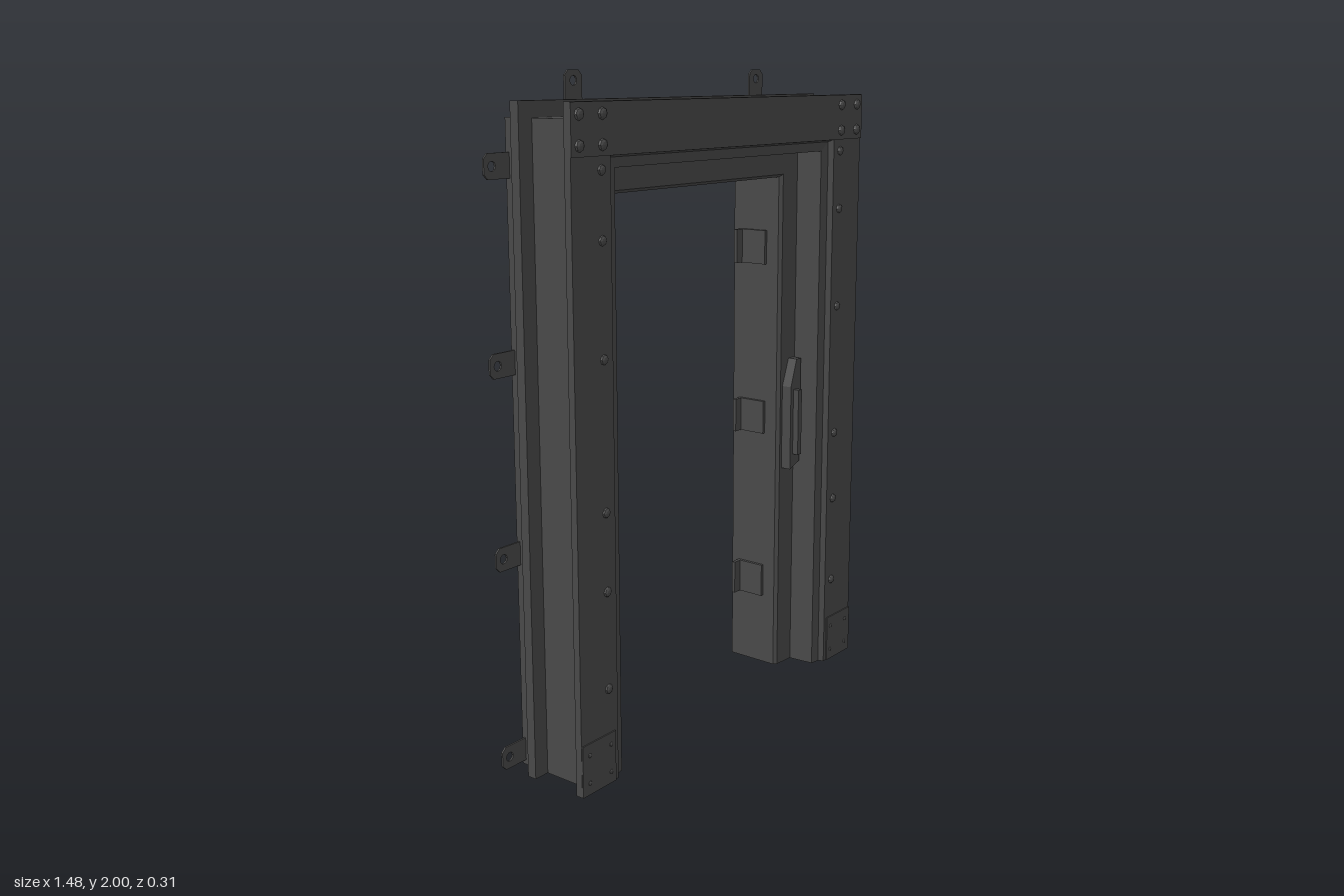
import * as THREE from 'three';

const steel = new THREE.MeshStandardMaterial({ color: 0x484848 });
steel.name = 'darkSteel';
steel.flatShading = true;

const HALF = 0.41, TOP = 1.665, RISE = 0.9; // opening half width, opening height, lintel/jamb width ratio

// Frame cross-section: distance outward from the opening, then z
const profile = [
  [0, 0.02], [0, -0.155], [0.21, -0.155], [0.21, -0.14], [0.235, -0.14],
  [0.235, -0.07], [0.285, -0.07], [0.285, -0.04], [0.235, -0.04],
  [0.235, 0.12], [0.285, 0.12], [0.285, 0.142], [0.13, 0.142],
  [0.122, 0.125], [0.09, 0.12], [0.082, 0.035], [0.01, 0.03],
];

// Sweep the profile up one jamb, across the lintel and down the other, with mitred corners
function frameGeometry() {
  const stations = [
    ([u, z]) => [-(HALF + u), 0, z],
    ([u, z]) => [-(HALF + u), TOP + RISE * u, z],
    ([u, z]) => [HALF + u, TOP + RISE * u, z],
    ([u, z]) => [HALF + u, 0, z],
  ];
  const pos = [];
  const n = profile.length;
  for (let k = 0; k < 3; k++) {
    for (let i = 0; i < n; i++) {
      const a = stations[k](profile[i]), b = stations[k](profile[(i + 1) % n]);
      const c = stations[k + 1](profile[(i + 1) % n]), d = stations[k + 1](profile[i]);
      pos.push(...a, ...b, ...c, ...a, ...c, ...d);
    }
  }
  // Feet
  const faces = THREE.ShapeUtils.triangulateShape(profile.map(p => new THREE.Vector2(...p)), []);
  for (const [a, b, c] of faces) {
    for (const i of [a, c, b]) pos.push(...stations[0](profile[i]));
    for (const i of [a, b, c]) pos.push(...stations[3](profile[i]));
  }
  const g = new THREE.BufferGeometry();
  g.setAttribute('position', new THREE.Float32BufferAttribute(pos, 3));
  g.computeVertexNormals();
  return g;
}

// Fixing lug with a round hole near its outer end, pointing along +x
function lugGeometry() {
  const s = new THREE.Shape();
  const w = 0.035, l = 0.125, c = 0.014;
  s.moveTo(0, -w);
  s.lineTo(l - c, -w);
  s.lineTo(l, -w + c);
  s.lineTo(l, w - c);
  s.lineTo(l - c, w);
  s.lineTo(0, w);
  const hole = new THREE.Path();
  hole.absarc(l - 0.029, 0, 0.014, 0, Math.PI * 2, true);
  s.holes.push(hole);
  return new THREE.ExtrudeGeometry(s, { depth: 0.006, bevelEnabled: false, curveSegments: 5 });
}

export function createModel() {
  const group = new THREE.Group();
  const add = (name, geometry, x, y, z) => {
    const m = new THREE.Mesh(geometry, steel);
    m.name = name;
    m.position.set(x, y, z);
    group.add(m);
    return m;
  };
  const box = (name, w, h, d, x, y, z) => add(name, new THREE.BoxGeometry(w, h, d), x, y, z);

  add('doorFrame', frameGeometry(), 0, 0, 0);

  // Header plate overlapping the jamb plates
  box('headerPlate', 1.392, 0.14, 0.005, 0, 1.851, 0.1435);

  // Rivet domes, facing front or back
  const dome = new THREE.SphereGeometry(1, 8, 3, 0, Math.PI * 2, 0, Math.PI / 2);
  const rivet = (x, y, z, r, dir = 1) => {
    const m = add('rivet', dome, x, y, z);
    m.scale.set(r, r * 0.6, r);
    m.rotation.x = dir * Math.PI / 2;
  };

  const lug = lugGeometry();
  for (const s of [-1, 1]) {
    // Kick plates and their screws
    box('kickPlate', 0.14, 0.155, 0.005, s * 0.624, 0.0775, 0.1435);
    for (const x of [0.575, 0.665]) {
      for (const y of [0.035, 0.12]) rivet(s * x, y, 0.146, 0.007);
      for (const y of [1.81, 1.89]) rivet(s * x, y, 0.146, 0.017);
    }
    for (const y of [0.29, 0.58, 0.81, 1.24, 1.56, 1.745]) rivet(s * 0.577, y, 0.142, 0.015);

    // Rivets on the back of both outer flanges
    for (const y of [0.05, 1.81, 1.89]) {
      rivet(s * 0.67, y, 0.12, 0.014, -1);
      rivet(s * 0.67, y, -0.07, 0.014, -1);
    }

    // Side lugs
    for (const y of [0.05, 0.655, 1.21, 1.75]) {
      const m = add('sideLug', lug, s * 0.615, y, s > 0 ? -0.133 : -0.127);
      if (s < 0) m.rotation.y = Math.PI;
    }

    // Hinge brackets on the reveals
    for (const y of [0.297, 0.87, 1.437]) {
      box('hingeLeaf', 0.012, 0.11, 0.1, s * 0.405, y, -0.075);
      box('hingeLip', 0.042, 0.11, 0.012, s * 0.39, y, -0.121);
    }
  }

  // Top lugs
  for (const x of [-0.39, 0.48]) {
    const m = add('topLug', lug, x, 1.875, -0.13);
    m.rotation.z = Math.PI / 2;
    box('lugFoot', 0.06, 0.006, 0.07, x, 1.889, -0.1);
  }

  // Latch keep set in the rebate of the left jamb
  const s = new THREE.Shape();
  s.moveTo(0.43, 0.7);
  s.lineTo(0.485, 0.72);
  s.lineTo(0.485, 1.07);
  s.lineTo(0.46, 1.07);
  s.lineTo(0.43, 0.98);
  add('latchKeep', new THREE.ExtrudeGeometry(s, { depth: 0.035, bevelEnabled: false }), 0, 0, 0.03);
  box('latchBar', 0.02, 0.22, 0.02, 0.455, 0.86, 0.075);

  return group;
}
